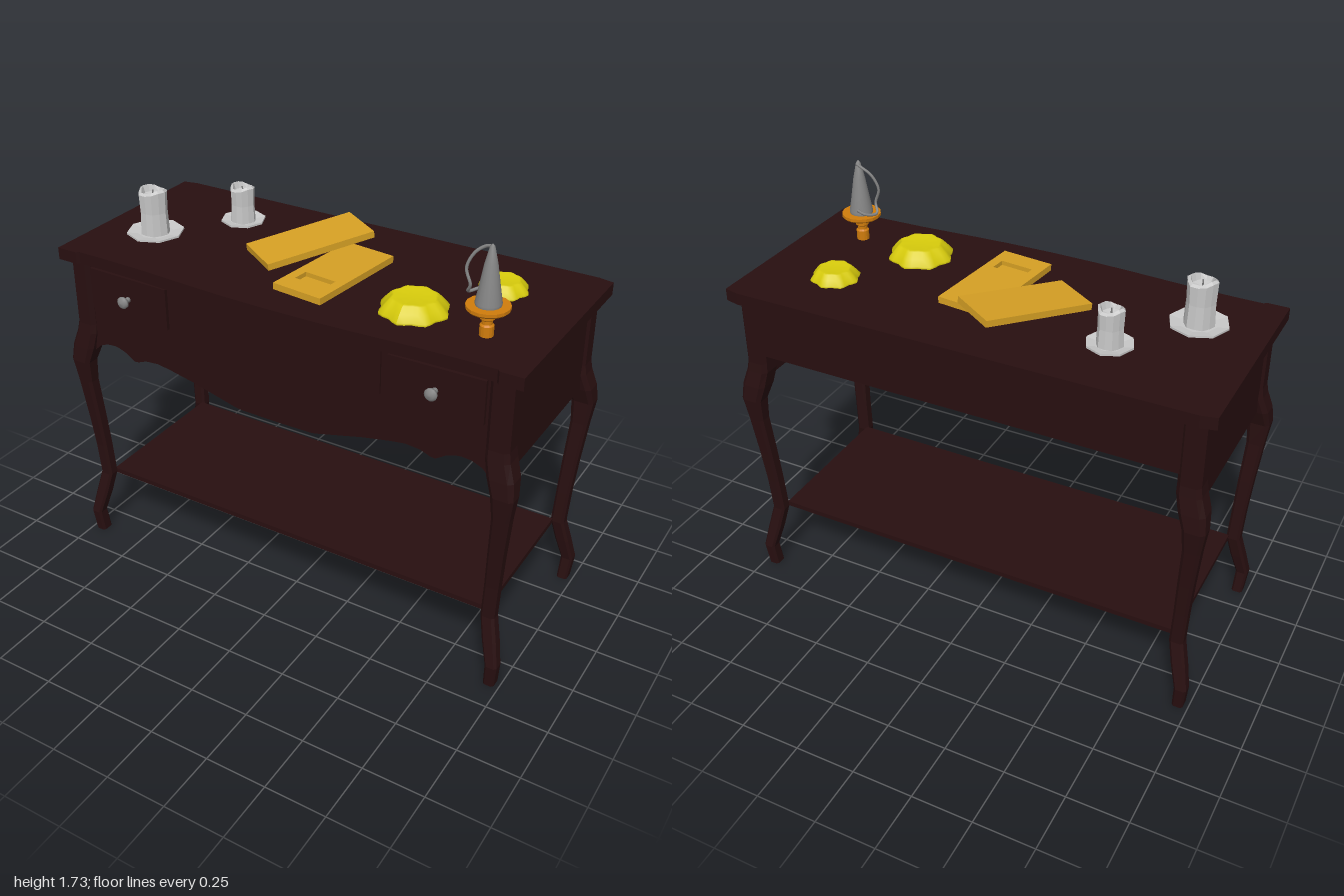
import * as THREE from 'three';

const mat = (name, color) => {
  const m = new THREE.MeshStandardMaterial({ color });
  m.name = name;
  return m;
};

export function createModel() {
  const root = new THREE.Group();
  root.name = 'consoleTable';
  const wood = mat('darkWood', 0x280f10);
  const wax = mat('paleGrey', 0xc8c8c8);
  const metal = mat('metalGrey', 0x858585);
  const gold = mat('boardGold', 0xd6a024);
  const yellow = mat('mouldYellow', 0xd8cc0c);
  const orange = mat('standOrange', 0xd07c0c);

  const add = (name, geo, material, x = 0, y = 0, z = 0, parent = root) => {
    const m = new THREE.Mesh(geo, material);
    m.name = name;
    m.position.set(x, y, z);
    parent.add(m);
    return m;
  };
  const box = (name, x0, x1, y0, y1, z0, z1) =>
    add(name, new THREE.BoxGeometry(x1 - x0, y1 - y0, z1 - z0), wood, (x0 + x1) / 2, (y0 + y1) / 2, (z0 + z1) / 2);
  const flat = (geo) => {
    const g = geo.index ? geo.toNonIndexed() : geo;
    g.computeVertexNormals();
    return g;
  };
  const lathe = (pts, sides) => new THREE.LatheGeometry(pts.map(p => new THREE.Vector2(...p)), sides);
  // Move every vertex by a rule
  const warp = (geo, rule) => {
    const p = geo.attributes.position, v = new THREE.Vector3();
    for (let i = 0; i < p.count; i++) {
      v.fromBufferAttribute(p, i);
      rule(v);
      p.setXYZ(i, v.x, v.y, v.z);
    }
    geo.computeVertexNormals();
    return geo;
  };

  // Table top with bowed front and clipped back corners
  const half = [[0, -0.43], [0.2, -0.427], [0.35, -0.42], [0.6, -0.405], [0.8, -0.4], [0.9, -0.4],
    [0.91, -0.41], [1, -0.41], [1, 0.425], [0.94, 0.438]];
  const outline = [...half, ...half.slice(1).reverse().map(([x, y]) => [-x, y])];
  const topShape = new THREE.Shape(outline.map(p => new THREE.Vector2(...p)));
  const topGeo = new THREE.ExtrudeGeometry(topShape, { depth: 0.05, bevelEnabled: false });
  add('tableTop', topGeo.rotateX(-Math.PI / 2), wood, 0, 1.335, 0);

  // Cabriole legs: chamfered sections [y, outer x, inner x, outer z, inner z]
  const sections = [
    [0, 0.98, 0.935, 0.395, 0.34], [0.1, 0.99, 0.94, 0.405, 0.352], [0.2, 0.97, 0.912, 0.385, 0.33],
    [0.3, 0.947, 0.89, 0.365, 0.312], [0.45, 0.955, 0.898, 0.372, 0.317], [0.6, 0.967, 0.905, 0.385, 0.327],
    [0.78, 0.985, 0.915, 0.402, 0.34], [0.88, 0.998, 0.908, 0.415, 0.34], [0.95, 0.99, 0.885, 0.41, 0.315],
    [1.02, 0.967, 0.87, 0.4, 0.3], [1.06, 0.96, 0.87, 0.395, 0.3], [1.335, 0.96, 0.87, 0.395, 0.3]];
  const corners = [[1, 0.65], [0.65, 1], [-0.65, 1], [-1, 0.65], [-1, -0.65], [-0.65, -1], [0.65, -1], [1, -0.65]];
  const legGeometry = (sx, sz) => {
    const pos = [], idx = [], n = corners.length, shift = sz < 0 ? 0.015 : 0;
    for (const [y, xo, xi, zo, zi] of sections) {
      const cx = sx * (xo + xi) / 2, cz = sz * ((zo + zi) / 2 + shift);
      for (const [a, b] of corners) pos.push(cx + a * (xo - xi) / 2, y, cz + b * (zo - zi) / 2);
    }
    for (let r = 0; r < sections.length - 1; r++) {
      for (let i = 0; i < n; i++) {
        const a = r * n + i, b = r * n + (i + 1) % n;
        idx.push(a, a + n, b, b, a + n, b + n);
      }
    }
    for (let i = 1; i < n - 1; i++) idx.push(0, i, i + 1);
    const g = new THREE.BufferGeometry();
    g.setAttribute('position', new THREE.Float32BufferAttribute(pos, 3));
    g.setIndex(idx);
    return flat(g);
  };
  for (const sx of [1, -1]) {
    for (const sz of [1, -1]) add(sz > 0 ? 'frontLeg' : 'backLeg', legGeometry(sx, sz), wood);
  }

  // Front apron with scalloped lower edge, following the bow
  const bow = x => 0.012 * Math.cos(Math.min(1, Math.abs(x) / 0.9) * Math.PI / 2);
  const edge = [[0, 0.883], [0.17, 0.885], [0.38, 0.937], [0.5, 0.96], [0.56, 0.968], [0.62, 0.962], [0.675, 0.94],
    [0.72, 0.97], [0.77, 0.987], [0.82, 0.982], [0.86, 0.965], [0.9, 0.925]];
  const lowerEdge = x => {
    const i = Math.max(1, edge.findIndex(p => p[0] >= Math.abs(x) - 1e-6));
    const [x0, y0] = edge[i - 1], [x1, y1] = edge[i];
    return y0 + (y1 - y0) * (Math.abs(x) - x0) / (x1 - x0);
  };
  const bowedPanel = (name, x0, x1, y0, y1, z, depth, bottom) => {
    const g = new THREE.BoxGeometry(x1 - x0, y1 - y0, depth, Math.round((x1 - x0) / 0.02), 1, 1);
    g.translate((x0 + x1) / 2, (y0 + y1) / 2, z - depth / 2);
    add(name, warp(g, v => {
      if (bottom && v.y < (y0 + y1) / 2) v.y = bottom(v.x);
      v.z += bow(v.x);
    }), wood);
  };
  bowedPanel('frontApron', -0.9, 0.9, 0.9, 1.335, 0.376, 0.03, lowerEdge);
  bowedPanel('centrePanel', -0.455, 0.455, 1.148, 1.322, 0.384, 0.015);
  bowedPanel('leftDrawer', 0.485, 0.86, 1.148, 1.322, 0.39, 0.02);
  bowedPanel('rightDrawer', -0.86, -0.485, 1.148, 1.322, 0.39, 0.02);

  // Sides, back and shelf
  for (const s of [1, -1]) box('sideApron', s * 0.935 - 0.015, s * 0.935 + 0.015, 0.955, 1.335, -0.37, 0.36);
  box('backApron', -0.9, 0.9, 1.1, 1.335, -0.4, -0.37);
  box('lowerShelf', -0.9, 0.9, 0.29, 0.312, -0.328, 0.32);

  // Drawer knobs
  const knob = lathe([[0, 0], [0.014, 0], [0.009, 0.012], [0.009, 0.025], [0.024, 0.032], [0.025, 0.042], [0.015, 0.05], [0, 0.052]], 12);
  knob.rotateX(Math.PI / 2);
  for (const s of [1, -1]) add('drawerKnob', knob, metal, s * 0.673, 1.232, 0.39);

  // Candles: octagonal dish, uneven wax column with hollow top, wick
  const candle = (x, z, rDish, r, top) => {
    const g = new THREE.Group();
    g.name = 'candle';
    g.position.set(x, 1.385, z);
    root.add(g);
    add('dish', flat(lathe([[0, 0], [rDish * 0.4, 0], [rDish * 0.5, 0.008], [rDish, 0.017], [rDish, 0.025],
      [rDish * 0.62, 0.018], [0, 0.018]], 8)), wax, 0, 0, 0, g);
    const body = lathe([[r * 1.02, 0.015], [r * 0.95, top * 0.55], [r, top - 0.008], [r * 0.8, top], [r * 0.65, top - 0.022], [0, top - 0.03]], 12);
    warp(body, v => {
      const a = Math.atan2(v.z, v.x), rr = Math.hypot(v.x, v.z);
      const k = 1 + 0.04 * Math.cos(6 * a);
      v.x *= k;
      v.z *= k;
      if (v.y > top - 0.015 && rr > 0.01) v.y += 0.007 * Math.sin(2 * a + 1);
    });
    add('wax', flat(body), wax, 0, 0, 0, g);
    add('wick', new THREE.CylinderGeometry(0.003, 0.003, 0.03, 6), metal, 0, top - 0.017, 0, g);
  };
  candle(-0.74, 0.115, 0.116, 0.058, 0.2);
  candle(-0.505, -0.17, 0.092, 0.051, 0.166);

  // Boards: one flat with a recessed slot, one leaning over it
  const rect = (Type, w, h, y = 0) => new Type([[-w, -h], [w, -h], [w, h], [-w, h]].map(p => new THREE.Vector2(p[0], p[1] + y)));
  const boardShape = rect(THREE.Shape, 0.11, 0.232);
  boardShape.holes.push(rect(THREE.Path, 0.07, 0.032, -0.118));
  const lower = add('slottedBoard', new THREE.ExtrudeGeometry(boardShape, { depth: 0.027, bevelEnabled: false }).rotateX(-Math.PI / 2),
    gold, 0.072, 1.386, 0.065);
  lower.rotation.y = -0.11;
  add('slotFloor', new THREE.BoxGeometry(0.15, 0.008, 0.07), gold, 0, 0.005, 0.118, lower);
  const upper = add('leaningBoard', new THREE.BoxGeometry(0.216, 0.027, 0.457), gold, -0.125, 1.43, -0.08);
  upper.rotation.order = 'YXZ';
  upper.rotation.set(0.115, -0.582, 0);

  // Upturned fluted moulds
  const mould = (x, z, r, h) => {
    const g = lathe([[r * 0.93, 0], [r * 0.94, h * 0.15], [r * 0.8, h * 0.55], [r * 0.65, h * 0.95], [r * 0.58, h],
      [r * 0.46, h * 0.92], [0, h * 0.92]], 32);
    warp(g, v => {
      const a = Math.atan2(v.z, v.x), k = 1 + 0.065 * Math.cos(8 * a) * Math.min(1, Math.hypot(v.x, v.z) / (r * 0.8));
      v.x *= k;
      v.z *= k;
    });
    add('flutedMould', g, yellow, x, 1.385, z);
  };
  mould(0.465, 0.165, 0.135, 0.06);
  mould(0.67, -0.155, 0.1, 0.046);

  // Candlestick with conical snuffer and curled handle
  const stick = new THREE.Group();
  stick.name = 'candlestick';
  stick.position.set(0.765, 1.385, 0.2);
  root.add(stick);
  add('stand', flat(lathe([[0, 0], [0.026, 0], [0.026, 0.04], [0.02, 0.046], [0.02, 0.06], [0.027, 0.066], [0.027, 0.092],
    [0.075, 0.1], [0.08, 0.106], [0.08, 0.118], [0, 0.118]], 16)), orange, 0, 0, 0, stick);
  add('snuffer', lathe([[0.047, 0.118], [0.048, 0.128], [0.037, 0.19], [0.024, 0.27], [0.009, 0.335], [0, 0.345]], 16), metal, 0, 0, 0, stick);
  const path = new THREE.CatmullRomCurve3([[0, 0.33, -0.01], [-0.03, 0.322, -0.018], [-0.065, 0.295, -0.01], [-0.09, 0.235, 0],
    [-0.072, 0.175, 0], [-0.088, 0.138, -0.02], [-0.06, 0.142, -0.06], [-0.025, 0.155, -0.065]].map(p => new THREE.Vector3(...p)));
  add('handle', new THREE.TubeGeometry(path, 32, 0.006, 6), metal, 0, 0, 0, stick);

  return root;
}
